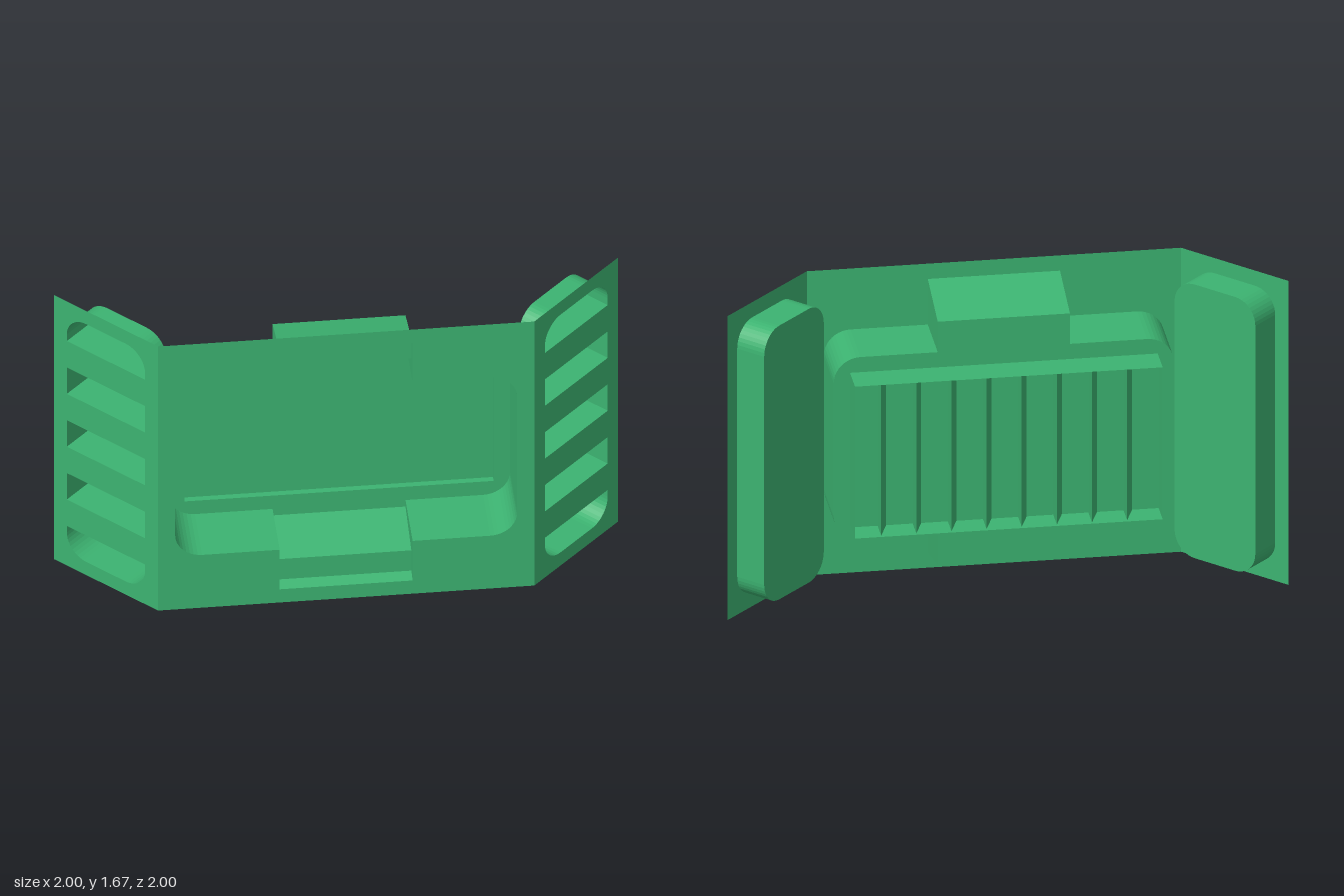
import * as THREE from 'three';

const H = 1.667;          // panel height
const DEPTH = 0.333;      // depth of the main recess
const material = new THREE.MeshStandardMaterial({ color: 0x3cb371, side: THREE.DoubleSide });

const V = (x, y) => new THREE.Vector2(x, y);

function add(group, name, geometry) {
  const mesh = new THREE.Mesh(geometry, material);
  mesh.name = name;
  group.add(mesh);
  return mesh;
}

// Rectangle outline, counter-clockwise from the lower left
const rect = (x0, y0, x1, y1) => [V(x0, y0), V(x1, y0), V(x1, y1), V(x0, y1)];

// Quarter arc as a list of points
function arc(cx, cy, r, start, n = 10) {
  return Array.from({ length: n + 1 }, (_, i) => {
    const a = start + (i / n) * Math.PI / 2;
    return V(cx + r * Math.cos(a), cy + r * Math.sin(a));
  });
}

// Rounded rectangle; the lower and upper corners may have different radii
function rounded(x0, y0, x1, y1, rLow, rHigh) {
  const low = (cx, s) => rLow ? arc(cx, y0 + rLow, rLow, s) : null;
  const high = (cx, s) => rHigh ? arc(cx, y1 - rHigh, rHigh, s) : null;
  return [
    ...(low(x0 + rLow, Math.PI) || [V(x0, y0)]),
    ...(low(x1 - rLow, Math.PI * 1.5) || [V(x1, y0)]),
    ...(high(x1 - rHigh, 0) || [V(x1, y1)]),
    ...(high(x0 + rHigh, Math.PI / 2) || [V(x0, y1)]),
  ];
}

// Flat sheet with holes at depth z
function sheet(outline, holes, z) {
  const shape = new THREE.Shape(outline);
  holes.forEach((h) => shape.holes.push(new THREE.Path(h)));
  return new THREE.ShapeGeometry(shape).translate(0, 0, z);
}

// Wall joining two matching closed outlines at two depths
function wall(a, za, b, zb) {
  const pos = [];
  a.forEach((p, i) => {
    const j = (i + 1) % a.length;
    const q = a[j], r = b[j], s = b[i];
    pos.push(p.x, p.y, za, s.x, s.y, zb, q.x, q.y, za);
    pos.push(q.x, q.y, za, s.x, s.y, zb, r.x, r.y, zb);
  });
  const g = new THREE.BufferGeometry();
  g.setAttribute('position', new THREE.Float32BufferAttribute(pos, 3));
  g.computeVertexNormals();
  return g;
}

// Rounded recess outline with a square notch above and below
function recessOutline(notch) {
  const x = 0.857, y0 = 0.333, y1 = 1.333, r = 0.135, n = 0.333;
  return [
    ...arc(-x + r, y0 + r, r, Math.PI),
    V(-n, y0), V(-n, y0 - notch), V(n, y0 - notch), V(n, y0),
    ...arc(x - r, y0 + r, r, Math.PI * 1.5),
    ...arc(x - r, y1 - r, r, 0),
    V(n, y1), V(n, y1 + notch), V(-n, y1 + notch), V(-n, y1),
    ...arc(-x + r, y1 - r, r, Math.PI / 2),
  ];
}

// Wide middle panel with recess, hooks and grille
function middlePanel() {
  const g = new THREE.Group();
  g.name = 'middlePanel';
  const front = recessOutline(0.25), back = recessOutline(0.167);
  const opening = rect(-0.775, 0.417, 0.775, 1.25);
  add(g, 'panelSheet', sheet(rect(-0.943, 0, 0.943, H), [front], 0));
  add(g, 'recessWall', wall(front, 0, back, -DEPTH));
  add(g, 'recessBack', sheet(back, [opening], -DEPTH));

  // Sloped catch blocks filling the notches
  for (const top of [true, false]) {
    const profile = [[-0.06, 1.568], [-0.06, 1.44], [-DEPTH, 1.375], [-DEPTH, 1.5]]
      .map(([z, y]) => V(z, top ? y : H - y));
    const geo = new THREE.ExtrudeGeometry(new THREE.Shape(profile), { depth: 0.666, bevelEnabled: false });
    add(g, top ? 'upperCatch' : 'lowerCatch', geo.rotateY(-Math.PI / 2).translate(0.333, 0, 0));
  }

  // Grille: open frame, backing and upright fins
  const floor = 0.365, pitch = 0.177, gap = 0.134;
  add(g, 'grilleFrame', wall(opening, -DEPTH, opening, -0.5));
  add(g, 'grilleBacking', sheet(opening, [], -floor));
  for (let i = 0; i < 8; i++) {
    const x = -0.775 + gap + i * pitch, w = pitch - gap;
    const fin = new THREE.Shape([V(x, floor), V(x + w, floor), V(x + w, floor + 0.12)]);
    const geo = new THREE.ExtrudeGeometry(fin, { depth: 0.833, bevelEnabled: false });
    add(g, 'grilleFin', geo.rotateX(-Math.PI / 2).translate(0, 0.417, 0));
  }
  return g;
}

// Narrow end panel with five slots and a rounded housing behind
function endPanel(name) {
  const g = new THREE.Group();
  g.name = name;
  const x = 0.25, depth = 0.167, r = 0.125;
  const slots = [0, 1, 2, 3, 4].map((i) => {
    const y = 0.083 + i * 0.3335;
    return rounded(-x, y, x, y + 0.167, i === 0 ? r : 0, i === 4 ? r : 0);
  });
  const housing = rounded(-x, 0.083, x, 1.584, r, r);
  add(g, 'panelSheet', sheet(rect(-0.3335, 0, 0.3335, H), slots, 0));
  add(g, 'housingWall', wall(housing, 0, housing, -depth));
  add(g, 'housingBack', sheet(housing, [], -depth));
  slots.forEach((s) => add(g, 'slotWall', wall(s, 0, s, -depth)));
  return g;
}

export function createModel() {
  const model = new THREE.Group();
  model.name = 'foldedVentPanel';

  const middle = middlePanel();
  middle.rotation.y = -Math.PI / 4;
  middle.position.set(-0.3335, 0, 0.3335);

  const frontEnd = endPanel('frontEndPanel');
  frontEnd.position.set(0.6665, 0, 1);

  const sideEnd = endPanel('sideEndPanel');
  sideEnd.rotation.y = -Math.PI / 2;
  sideEnd.position.set(-1, 0, -0.6665);

  model.add(middle, frontEnd, sideEnd);
  return model;
}
